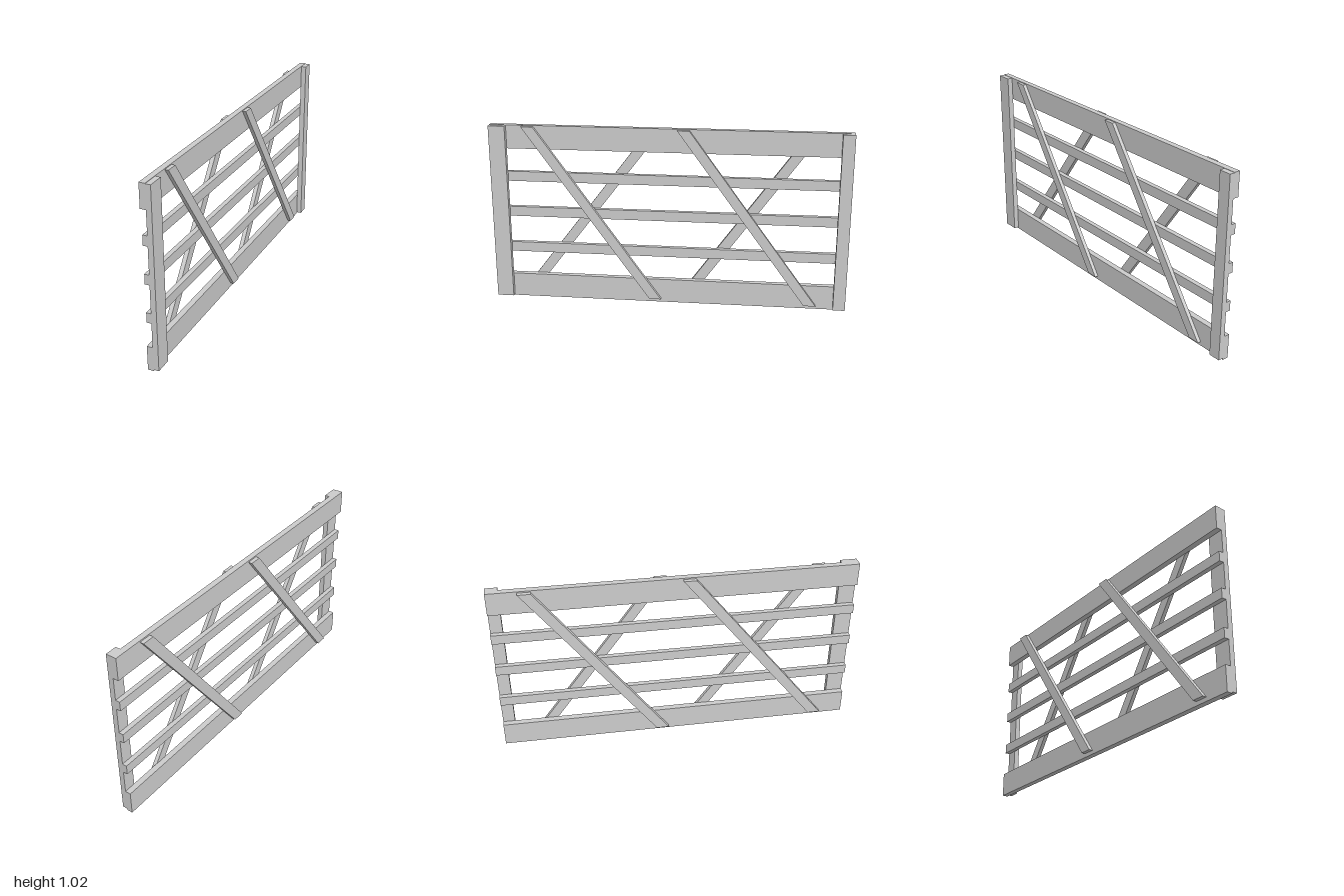
import * as THREE from 'three';

const material = new THREE.MeshStandardMaterial({ color: 0xcccccc, flatShading: true });

// Box given by its extents on each axis
function board(name, [x0, x1], [y0, y1], [z0, z1]) {
  const geometry = new THREE.BoxGeometry(x1 - x0, y1 - y0, z1 - z0);
  geometry.translate((x0 + x1) / 2, (y0 + y1) / 2, (z0 + z1) / 2);
  const mesh = new THREE.Mesh(geometry, material);
  mesh.name = name;
  return mesh;
}

// Slanted board: a box sheared along z between its bottom and top centres
function brace(name, xRange, yRange, zBottom, zTop, width) {
  const mesh = board(name, xRange, yRange, [-width / 2, width / 2]);
  const p = mesh.geometry.attributes.position;
  for (let i = 0; i < p.count; i++) {
    const t = (p.getY(i) - yRange[0]) / (yRange[1] - yRange[0]);
    p.setZ(i, p.getZ(i) + THREE.MathUtils.lerp(zBottom, zTop, t));
  }
  mesh.geometry.computeVertexNormals();
  return mesh;
}

export function createModel() {
  const gate = new THREE.Group();
  gate.name = 'gate';

  // Wide rails at top and bottom
  gate.add(board('topRail', [-0.02, 0.013], [0.885, 1.018], [-1, 1]));
  gate.add(board('bottomRail', [-0.02, 0.013], [0, 0.138], [-1, 1]));

  // Narrow slats between the rails
  for (const y of [0.305, 0.518, 0.725])
    gate.add(board('slat', [-0.014, 0.013], [y - 0.028, y + 0.028], [-1, 1]));

  // End posts on the left face
  gate.add(board('frontPost', [0.012, 0.042], [0.008, 1.016], [0.907, 1]));
  gate.add(board('backPost', [0.012, 0.042], [0.008, 1.016], [-1, -0.933]));

  // Diagonal braces crossing on opposite faces
  const left = [0.011, 0.033], right = [-0.042, -0.018];
  gate.add(brace('leftBraceFront', left, [0.022, 1.013], 0.075, 0.785, 0.067));
  gate.add(brace('leftBraceBack', left, [0.022, 1.013], -0.803, -0.082, 0.067));
  gate.add(brace('rightBraceFront', right, [0.022, 1.01], 0.826, 0.07, 0.07));
  gate.add(brace('rightBraceBack', right, [0.022, 1.01], -0.086, -0.8, 0.07));

  return gate;
}
